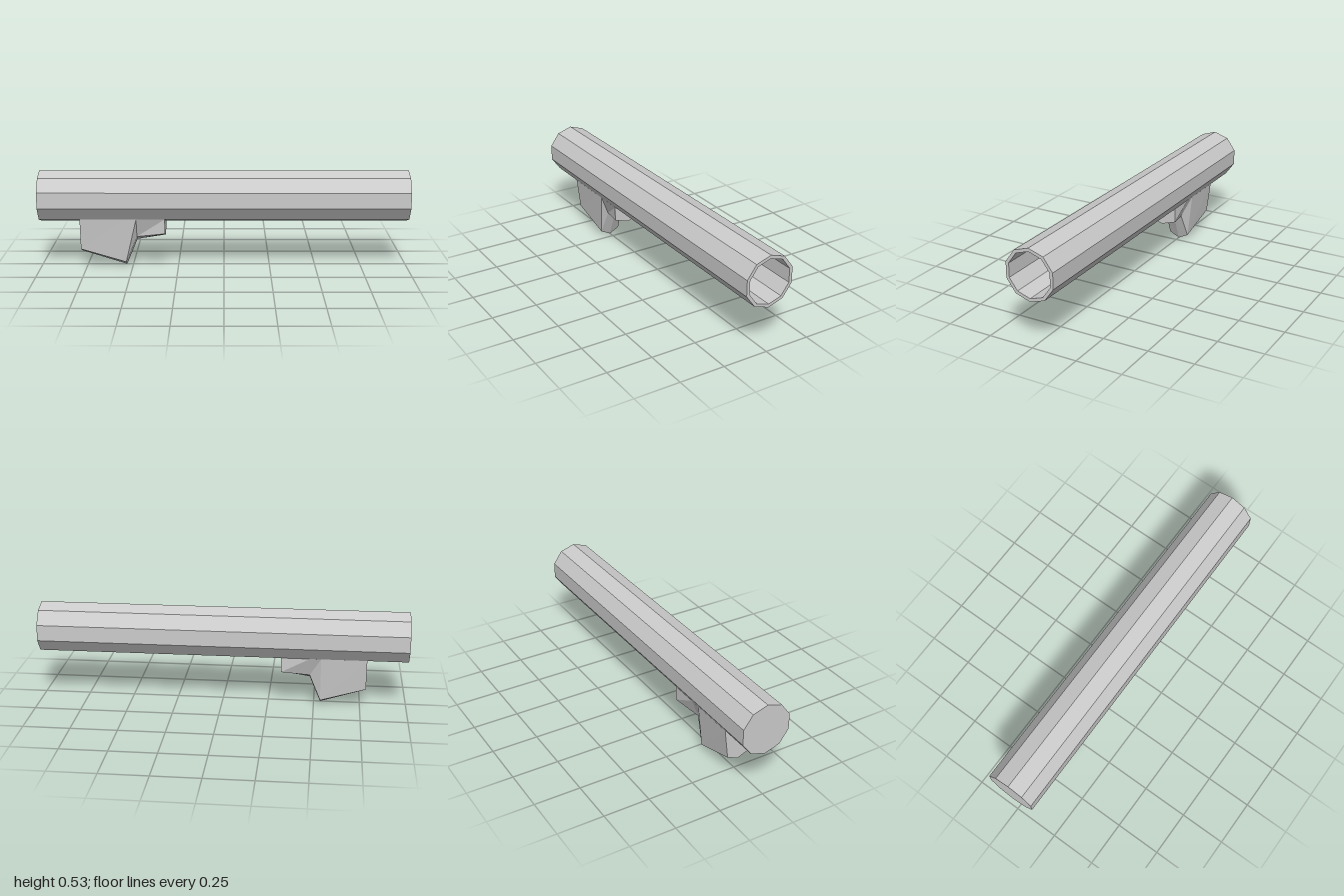
import * as THREE from 'three';

const material = () => new THREE.MeshStandardMaterial({ color: 0xcccccc, flatShading: true });

// Ten-sided tube along x, open at the +x end and closed at the -x end
function makeBarrel() {
  const profile = [[0, -1], [0.14, -1], [0.14, 1], [0.122, 1], [0.122, -0.99], [0, -0.99]]
    .map(([r, h]) => new THREE.Vector2(r, h));
  const geometry = new THREE.LatheGeometry(profile, 10, Math.PI / 2);
  geometry.rotateZ(-Math.PI / 2);
  geometry.translate(0, 0.388, 0);
  const mesh = new THREE.Mesh(geometry, material());
  mesh.name = 'barrel';
  return mesh;
}

// Keeled bracket lofted through hexagonal sections that fit the underside of the tube
function makeGrip() {
  // x, half width at the lower corners, height of the corners, height of the keel
  const sections = [
    [-0.78, 0.062, 0.103, 0.078],
    [-0.535, 0.057, 0.028, 0],
    [-0.475, 0.043, 0.168, 0.144],
    [-0.32, 0.083, 0.194, 0.168],
  ];
  const top = 0.083, sides = 6, positions = [], index = [];
  for (const [x, w, yCorner, yKeel] of sections) {
    positions.push(
      x, 0.275, top, x, yCorner, w, x, yKeel, 0,
      x, yCorner, -w, x, 0.275, -top, x, 0.25, 0);
  }
  for (let s = 0; s < sections.length - 1; s++) {
    for (let k = 0; k < sides; k++) {
      const a = s * sides + k, b = s * sides + (k + 1) % sides;
      index.push(a, b, a + sides, b, b + sides, a + sides);
    }
  }
  // End caps fan out from the top middle point
  const last = (sections.length - 1) * sides;
  for (let k = 0; k < 4; k++) {
    index.push(5, k + 1, k);
    index.push(last + 5, last + k, last + k + 1);
  }
  const geometry = new THREE.BufferGeometry();
  geometry.setAttribute('position', new THREE.Float32BufferAttribute(positions, 3));
  geometry.setIndex(index);
  geometry.computeVertexNormals();
  const mesh = new THREE.Mesh(geometry, material());
  mesh.name = 'grip';
  return mesh;
}

export function createModel() {
  const model = new THREE.Group();
  model.name = 'launchTube';
  model.add(makeBarrel(), makeGrip());
  return model;
}
